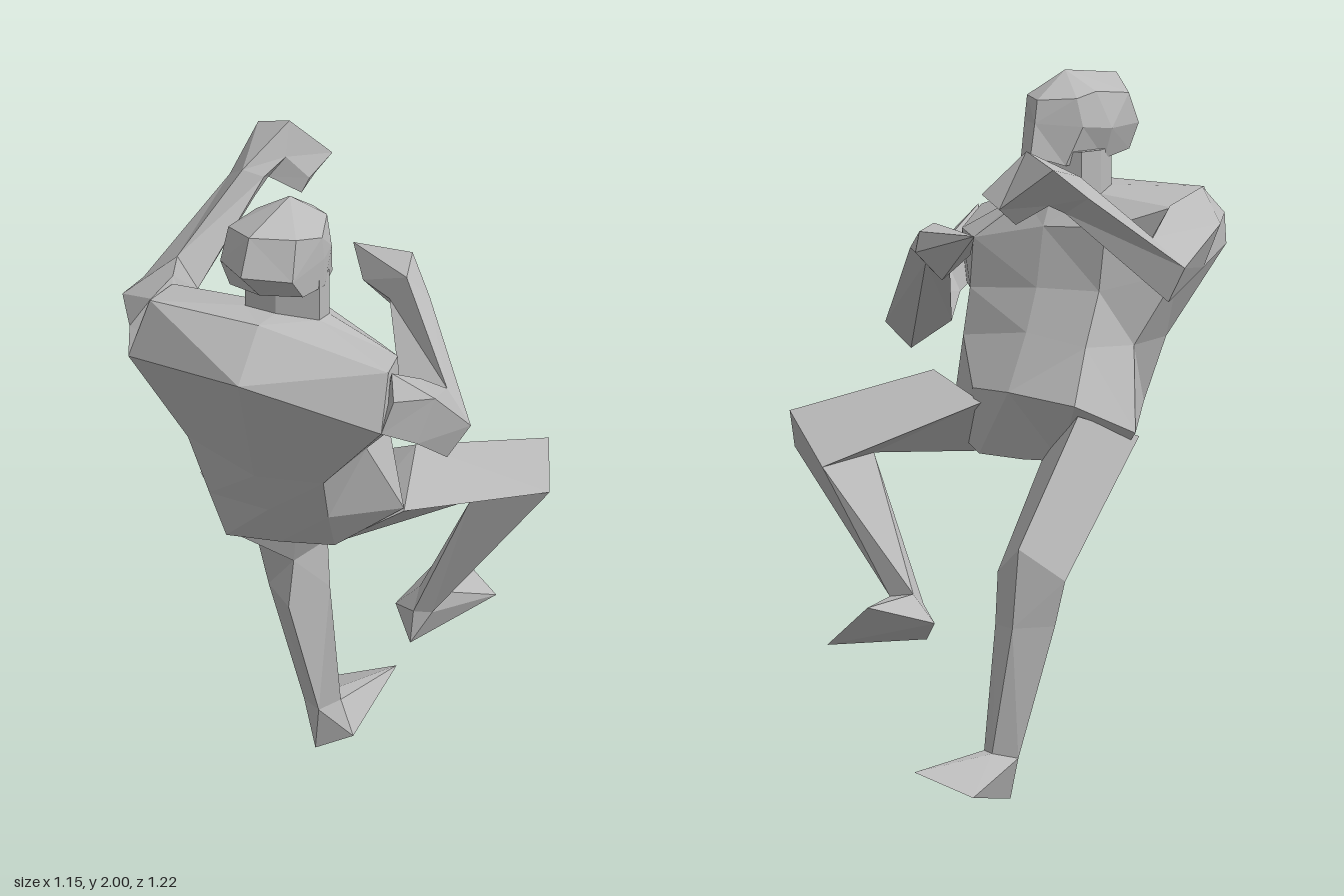
import * as THREE from 'three';
import { ConvexGeometry } from 'three/addons/geometries/ConvexGeometry.js';

const grey = new THREE.MeshStandardMaterial({ color: 0xbababa, flatShading: true });
grey.name = 'matte grey';

const vec = (p) => new THREE.Vector3(...p);

// Skin a closed body over rings of points; a ring of one point makes a tip.
function loft(rings) {
  const n = Math.max(...rings.map((r) => r.length));
  const loops = rings.map((r) => Array.from({ length: n }, (_, i) => vec(r[i % r.length])));
  const tris = [];
  for (let k = 0; k < loops.length - 1; k++) {
    const a = loops[k], b = loops[k + 1];
    for (let i = 0; i < n; i++) {
      const j = (i + 1) % n;
      // split each quad along its shorter diagonal
      if (a[i].distanceTo(b[j]) < a[j].distanceTo(b[i])) {
        tris.push([a[i], a[j], b[j]], [a[i], b[j], b[i]]);
      } else {
        tris.push([a[i], a[j], b[i]], [a[j], b[j], b[i]]);
      }
    }
  }
  // end caps fan out from the middle of the ring
  const cap = (loop, flip) => {
    const mid = loop.reduce((s, p) => s.add(p), new THREE.Vector3()).divideScalar(n);
    loop.forEach((p, i) => {
      const q = loop[(i + 1) % n];
      tris.push(flip ? [mid, q, p] : [mid, p, q]);
    });
  };
  cap(loops[0], true);
  cap(loops[loops.length - 1], false);

  // drop empty triangles and turn the skin outwards
  const solid = tris.filter(([a, b, c]) =>
    b.clone().sub(a).cross(c.clone().sub(a)).length() > 1e-7);
  const centre = loops[0][0];
  const volume = solid.reduce((s, t) => {
    const [a, b, c] = t.map((p) => p.clone().sub(centre));
    return s + a.dot(b.cross(c));
  }, 0);
  const points = solid.flatMap(([a, b, c]) => (volume < 0 ? [a, c, b] : [a, b, c]));
  const geometry = new THREE.BufferGeometry().setFromPoints(points);
  geometry.computeVertexNormals();
  return geometry;
}

const hull = (...sets) => new ConvexGeometry(sets.flat().map(vec));

export function createModel() {
  const model = new THREE.Group();
  model.name = 'kickingFigure';
  const add = (name, geometry) => {
    const mesh = new THREE.Mesh(geometry, grey);
    mesh.name = name;
    model.add(mesh);
  };

  // Body rings run: back, left back, left, left front, front, right front, right, right back
  const neckBase = [[-0.04, 1.67, 0.38], [0.08, 1.655, 0.35], [0.085, 1.645, 0.28], [0.06, 1.635, 0.22],
    [-0.03, 1.64, 0.2], [-0.12, 1.64, 0.22], [-0.15, 1.655, 0.28], [-0.14, 1.67, 0.36]];
  add('torso', loft([
    [[-0.06, 0.91, 0.29], [0.09, 0.905, 0.25], [0.2, 0.95, 0.12], [0.1, 0.93, 0.02],
      [-0.03, 0.92, 0.04], [-0.14, 0.92, 0.06], [-0.3, 0.94, 0.12], [-0.21, 0.92, 0.32]],
    [[-0.07, 1.04, 0.36], [0.1, 1.03, 0.33], [0.28, 1.03, 0.2], [0.11, 1.12, 0],
      [-0.02, 1.12, -0.03], [-0.25, 1.1, -0.06], [-0.37, 1.015, 0.08], [-0.25, 1.06, 0.35]],
    [[-0.09, 1.17, 0.42], [0.11, 1.17, 0.4], [0.2, 1.245, 0.29], [0.2, 1.25, 0.11],
      [-0.03, 1.28, 0.06], [-0.22, 1.25, 0.06], [-0.3, 1.245, 0.2], [-0.3, 1.245, 0.39]],
    [[-0.07, 1.54, 0.61], [0.32, 1.405, 0.5], [0.32, 1.37, 0.34], [0.2, 1.38, 0.15],
      [-0.03, 1.4, 0.12], [-0.22, 1.4, 0.14], [-0.4, 1.45, 0.28], [-0.45, 1.51, 0.47]],
    [[-0.06, 1.67, 0.47], [0.32, 1.57, 0.44], [0.28, 1.53, 0.25], [0.2, 1.52, 0.17],
      [-0.03, 1.57, 0.16], [-0.23, 1.58, 0.16], [-0.4, 1.64, 0.24], [-0.4, 1.675, 0.43]],
    neckBase,
  ]));

  add('neck', loft([neckBase, neckBase.map(([x, , z]) => [x, 1.78, z])]));
  add('head', loft([
    [[-0.06, 1.76, 0.46], [0.06, 1.76, 0.43], [0.085, 1.75, 0.32], [0.065, 1.74, 0.2],
      [0, 1.77, 0.14], [-0.08, 1.74, 0.2], [-0.14, 1.75, 0.32], [-0.16, 1.765, 0.43]],
    [[-0.08, 1.855, 0.56], [0.05, 1.83, 0.49], [0.088, 1.84, 0.33], [0.085, 1.85, 0.26],
      [0, 1.86, 0.165], [-0.12, 1.85, 0.23], [-0.17, 1.84, 0.31], [-0.185, 1.84, 0.44]],
    [[-0.07, 1.965, 0.52], [0.05, 1.95, 0.46], [0.085, 1.91, 0.34], [0.06, 1.93, 0.23],
      [0, 1.925, 0.18], [-0.1, 1.93, 0.23], [-0.13, 1.945, 0.29], [-0.175, 1.93, 0.4]],
    [[-0.03, 2.0, 0.29]],
  ]));

  // Standing leg; rings run front, left, back, right
  const rightAnkle = [[-0.14, 0.14, -0.345], [-0.09, 0.14, -0.3], [-0.14, 0.12, -0.255], [-0.2, 0.125, -0.3]];
  add('rightLeg', loft([
    [[-0.25, 1.07, -0.04], [-0.08, 0.94, 0.08], [-0.18, 0.92, 0.31], [-0.36, 1.0, 0.12]],
    [[-0.225, 0.73, -0.345], [-0.12, 0.65, -0.275], [-0.17, 0.64, -0.13], [-0.315, 0.63, -0.235]],
    [[-0.2, 0.5, -0.335], [-0.115, 0.5, -0.28], [-0.18, 0.5, -0.115], [-0.285, 0.5, -0.24]],
    rightAnkle,
  ]));
  add('rightFoot', hull(rightAnkle,
    [[-0.15, 0, -0.255], [-0.04, 0.05, -0.265], [-0.22, 0.055, -0.605], [-0.034, 0.115, -0.61]]));

  // Raised leg; rings run top, outer, bottom, inner
  const leftAnkle = [[0.235, 0.55, -0.26], [0.22, 0.51, -0.2], [0.175, 0.52, -0.17], [0.165, 0.56, -0.25]];
  add('leftLeg', loft([
    [[0.26, 1.155, 0.045], [0.28, 1.02, 0.2], [0.09, 0.91, 0.24], [0.08, 1.08, 0]],
    [[0.535, 1.065, -0.3], [0.573, 0.945, -0.2], [0.37, 0.93, -0.105], [0.43, 0.91, -0.3]],
    leftAnkle,
  ]));
  add('leftFoot', hull(leftAnkle,
    [[0.085, 0.485, -0.27], [0.165, 0.42, -0.17], [0.16, 0.56, -0.53], [0.303, 0.44, -0.505]]));

  // Arms; rings run top, outer, bottom, inner
  const rightWrist = [[-0.36, 1.79, -0.23], [-0.42, 1.74, -0.29], [-0.34, 1.69, -0.28], [-0.315, 1.75, -0.285]];
  add('rightArm', loft([
    [[-0.4, 1.675, 0.42], [-0.45, 1.6, 0.46], [-0.45, 1.51, 0.47], [-0.36, 1.5, 0.4]],
    [[-0.41, 1.65, 0.21], [-0.54, 1.6, 0.27], [-0.48, 1.47, 0.28], [-0.35, 1.5, 0.21]],
    [[-0.48, 1.595, -0.02], [-0.58, 1.515, -0.015], [-0.53, 1.415, -0.02], [-0.42, 1.5, -0.025]],
    rightWrist,
  ]));
  add('rightHand', loft([
    rightWrist,
    [[-0.28, 1.88, -0.4], [-0.39, 1.84, -0.445], [-0.325, 1.72, -0.35], [-0.28, 1.78, -0.37]],
    [[-0.18, 1.76, -0.48], [-0.22, 1.715, -0.45], [-0.24, 1.665, -0.39], [-0.22, 1.71, -0.4]],
  ]));

  const leftWrist = [[0.18, 1.6, -0.1], [0.235, 1.53, -0.14], [0.19, 1.49, -0.13], [0.125, 1.52, -0.11]];
  add('leftArm', loft([
    [[0.33, 1.57, 0.44], [0.35, 1.5, 0.48], [0.32, 1.405, 0.5], [0.25, 1.4, 0.3]],
    [[0.35, 1.47, 0.25], [0.41, 1.44, 0.3], [0.37, 1.31, 0.34], [0.28, 1.35, 0.24]],
    [[0.37, 1.37, 0.09], [0.445, 1.27, 0.1], [0.395, 1.19, 0.16], [0.275, 1.275, 0.18]],
    leftWrist,
  ]));
  add('leftHand', hull(leftWrist,
    [[-0.04, 1.6, -0.265], [0.02, 1.53, -0.18], [0.14, 1.6, -0.26], [0.1, 1.455, -0.2], [0.15, 1.54, -0.265]]));

  return model;
}
